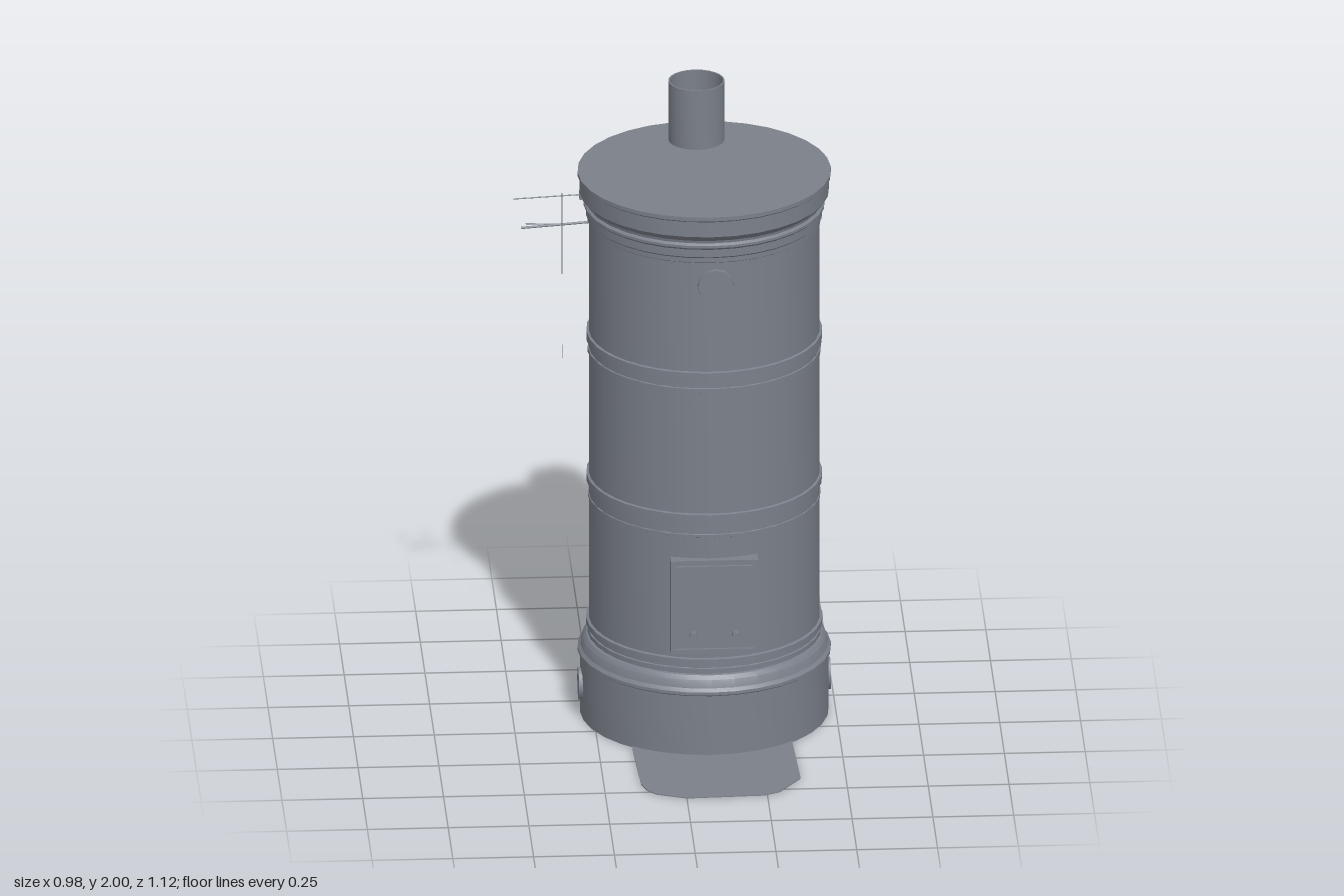
import * as THREE from 'three';
import { toCreasedNormals } from 'three/addons/utils/BufferGeometryUtils.js';

const CX = 0.095, CZ = -0.165;

export function createModel() {
  const group = new THREE.Group();
  const iron = new THREE.MeshStandardMaterial({ color: 0x7b808a, side: THREE.DoubleSide });
  iron.name = 'ironGrey';

  const add = (name, geometry, x = 0, y = 0, z = 0) => {
    const mesh = new THREE.Mesh(geometry, iron);
    mesh.name = name;
    mesh.position.set(x, y, z);
    group.add(mesh);
    return mesh;
  };
  const lathe = (name, points, x, z, segments = 32) => {
    const profile = points.map(([r, y]) => new THREE.Vector2(r, y));
    return add(name, toCreasedNormals(new THREE.LatheGeometry(profile, segments), 0.45), x, 0, z);
  };
  const box = (name, w, h, d, x, y, z) => add(name, new THREE.BoxGeometry(w, h, d), x, y, z);

  // Plinth with a moulded shoulder
  lathe('plinth', [[0, 0], [0.385, 0], [0.385, 0.2], [0.392, 0.205], [0.392, 0.215],
    [0.383, 0.225], [0.376, 0.25], [0.366, 0.262], [0.35, 0.265]], CX, CZ);

  // Drum
  lathe('drum', [[0.357, 0.25], [0.357, 1.66]], CX, CZ, 40);

  // Raised bands around the drum
  const band = (y, h, r) => lathe('band', [[0.354, y - h / 2], [r, y - h / 2 + 0.003],
    [r, y + h / 2 - 0.003], [0.354, y + h / 2]], CX, CZ);
  [[0.275, 0.02, 0.362], [0.305, 0.025, 0.366], [0.725, 0.014, 0.36], [0.785, 0.03, 0.365],
    [1.21, 0.02, 0.361], [1.257, 0.035, 0.365]].forEach((b) => band(...b));

  // Cornice and lid
  lathe('cornice', [[0.354, 1.635], [0.361, 1.64], [0.361, 1.655], [0.366, 1.66], [0.366, 1.685],
    [0.373, 1.692], [0.373, 1.7], [0.365, 1.706], [0.367, 1.715], [0.378, 1.725],
    [0.386, 1.735], [0.386, 1.785], [0.392, 1.79], [0.392, 1.803], [0, 1.803]], CX, CZ);

  // Flue pipe, open at the top
  lathe('fluePipe', [[0.087, 1.8], [0.087, 2], [0.082, 2], [0.082, 1.8]], 0.085, -0.41, 24);

  // Fire door: casing, frame, two leaves and knobs
  const dx = 0.105, dy = 0.495;
  box('doorCasing', 0.25, 0.29, 0.045, dx, dy, 0.18);
  for (const s of [-1, 1]) {
    box('doorFrameSide', 0.014, 0.31, 0.055, dx + s * 0.128, dy, 0.188);
    box('doorFrameRail', 0.27, 0.014, 0.05, dx, dy + s * 0.148, 0.186);
    box('doorLeaf', 0.115, 0.27, 0.01, dx + s * 0.061, dy, 0.206);
    const knob = add('doorKnob', new THREE.CylinderGeometry(0.012, 0.012, 0.03, 8),
      dx + s * 0.066, 0.405, 0.222);
    knob.rotation.x = Math.PI / 2;
  }

  // Round clean-out cover near the top
  const cover = add('upperCover', new THREE.CylinderGeometry(0.055, 0.057, 0.016, 12), 0.11, 1.56, 0.192);
  cover.rotation.x = Math.PI / 2;

  // Clean-out covers on both sides of the plinth
  for (const [s, z] of [[1, -0.19], [-1, -0.15]]) {
    const plug = add('plinthCover', new THREE.CylinderGeometry(0.054, 0.054, 0.014, 8), CX + s * 0.384, 0.1, z);
    plug.rotation.z = Math.PI / 2;
  }

  // Damper levers, bracket and hanging pull wire
  const rod = (name, a, b, r) => {
    const curve = new THREE.LineCurve3(new THREE.Vector3(...a), new THREE.Vector3(...b));
    return add(name, new THREE.TubeGeometry(curve, 1, r, 6));
  };
  rod('upperLever', [-0.26, 1.7, -0.235], [-0.495, 1.705, -0.196], 0.002);
  rod('lowerLever', [-0.25, 1.607, -0.235], [-0.47, 1.607, -0.198], 0.004);
  rod('leverStrut', [-0.345, 1.607, -0.219], [-0.455, 1.62, -0.2], 0.002);
  box('leverBracket', 0.02, 0.025, 0.02, -0.278, 1.7, -0.23);
  rod('pullWire', [-0.343, 1.72, -0.2], [-0.343, 1.45, -0.2], 0.0012);
  rod('pullWireEnd', [-0.343, 1.215, -0.195], [-0.343, 1.17, -0.195], 0.0012);

  // Hearth plate on the floor
  const outline = [[-0.145, 0.1], [-0.145, 0.19], [-0.135, 0.44], [-0.12, 0.49], [-0.09, 0.525],
    [0, 0.56], [0.24, 0.55], [0.29, 0.525], [0.36, 0.42], [0.35, 0.1]];
  const plate = new THREE.Shape(outline.map(([x, z]) => new THREE.Vector2(x, -z)));
  const hearth = new THREE.ExtrudeGeometry(plate, { depth: 0.003, bevelEnabled: false });
  add('hearthPlate', hearth.rotateX(-Math.PI / 2), 0, 0.001, 0);

  return group;
}
